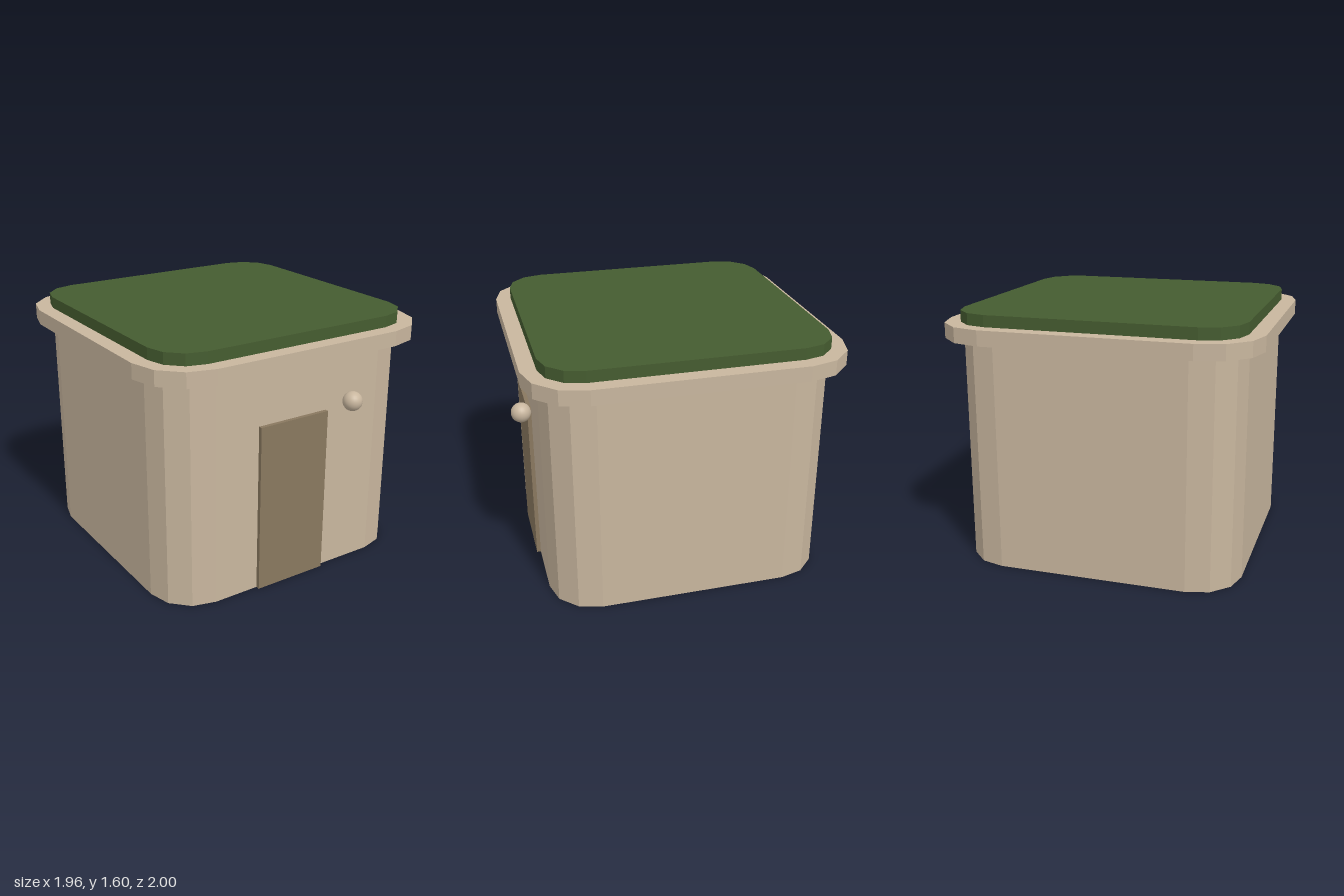
import * as THREE from 'three';

const mat = (name, color) => {
  const m = new THREE.MeshStandardMaterial({ color });
  m.name = name;
  return m;
};

// Square outline whose corners are rounded by three flat facets
function roundedSquare(half, radius, facets = 3) {
  const points = [];
  const c = half - radius;
  const corners = [[c, c], [-c, c], [-c, -c], [c, -c]];
  corners.forEach(([x, y], q) => {
    for (let i = 0; i <= facets; i++) {
      const a = (q + i / facets) * Math.PI / 2;
      points.push(new THREE.Vector2(x + radius * Math.cos(a), y + radius * Math.sin(a)));
    }
  });
  return new THREE.Shape(points);
}

export function createModel() {
  const group = new THREE.Group();
  group.name = 'hut';
  const plaster = mat('sand plaster', 0xc8b69e);
  const doorBrown = mat('door brown', 0x89785f);
  const grass = mat('roof green', 0x455c30);
  const centreZ = -0.02;

  const add = (name, geometry, material, x, y, z) => {
    const mesh = new THREE.Mesh(geometry, material);
    mesh.name = name;
    mesh.position.set(x, y, z);
    group.add(mesh);
  };

  // Upright prism from a rounded square, between two heights
  const addSlab = (name, half, radius, y0, y1, material) => {
    const geometry = new THREE.ExtrudeGeometry(roundedSquare(half, radius), {
      depth: y1 - y0, bevelEnabled: false,
    });
    geometry.rotateX(-Math.PI / 2);
    add(name, geometry, material, 0, y0, centreZ);
  };

  addSlab('walls', 0.882, 0.29, 0, 1.43, plaster);
  addSlab('roofLedge', 0.98, 0.34, 1.43, 1.525, plaster);
  addSlab('greenRoof', 0.882, 0.24, 1.525, 1.597, grass);

  // Door standing slightly proud of the front wall
  add('door', new THREE.BoxGeometry(0.49, 1.08, 0.06), doorBrown, -0.05, 0.54, 0.857);

  // Round lamp beside the door
  add('lamp', new THREE.SphereGeometry(0.061, 24, 16), plaster, 0.34, 1.13, 0.939);

  return group;
}
